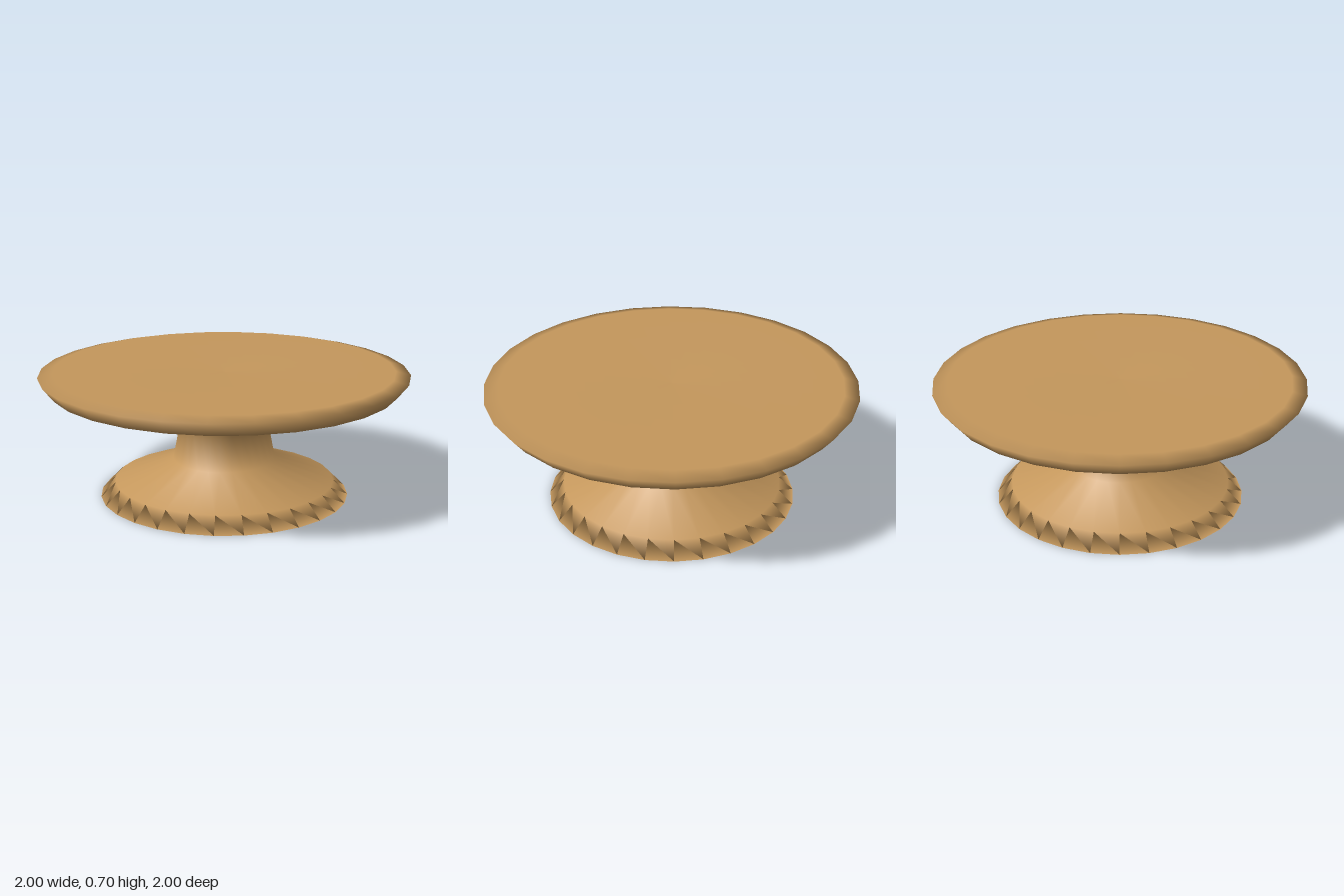
import * as THREE from 'three';

export function createModel() {
  const group = new THREE.Group();
  group.name = 'pedestalStand';

  const wood = new THREE.MeshStandardMaterial({ color: 0xc4975c });
  wood.name = 'warm wood';

  // One turned profile: flat base, flared foot, waisted stem, wide shallow plate
  const profile = [
    [0, 0], [0.68, 0], [0.6, 0.08],   // foot
    [0.28, 0.2], [0.24, 0.4],         // stem
    [0.4, 0.54], [0.94, 0.605],       // plate underside
    [1, 0.68], [0.92, 0.7],           // plate rim
    [0, 0.68],                        // slightly dished top
  ].map(([r, y]) => new THREE.Vector2(r, y));

  const stand = new THREE.Mesh(new THREE.LatheGeometry(profile, 28), wood);
  stand.name = 'turnedStand';
  group.add(stand);

  return group;
}
